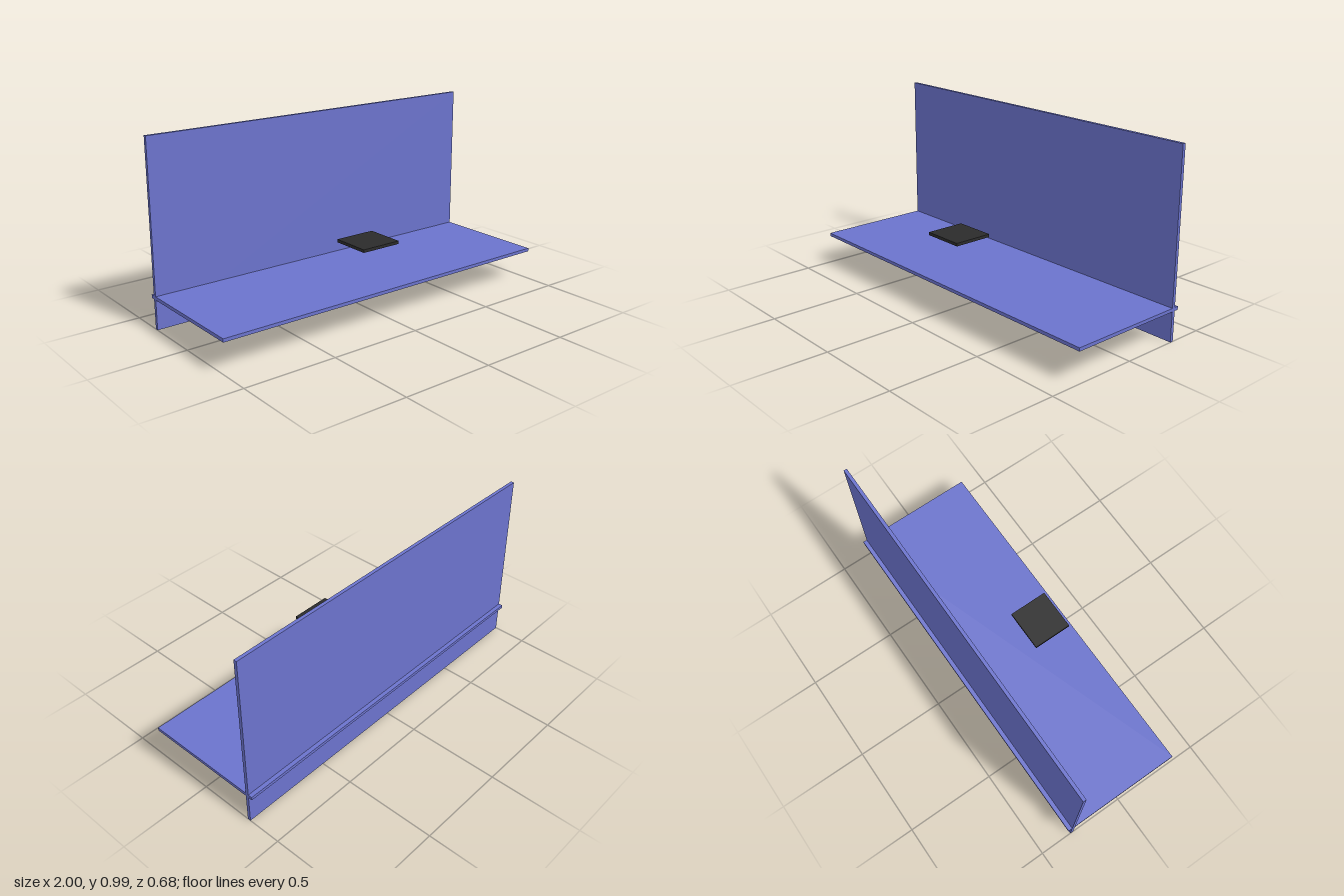
import * as THREE from 'three';

export function createModel() {
  const model = new THREE.Group();
  const blue = new THREE.MeshStandardMaterial({ color: 0x6b73cc });
  const black = new THREE.MeshStandardMaterial({ color: 0x2b2b2b });

  // Box given by its lower and upper corners
  const slab = (name, material, min, max) => {
    const size = max.map((v, i) => v - min[i]);
    const mesh = new THREE.Mesh(new THREE.BoxGeometry(...size), material);
    mesh.position.set(...max.map((v, i) => (v + min[i]) / 2));
    mesh.name = name;
    model.add(mesh);
  };

  // Upright panel, crossed near its foot by the horizontal panel
  slab('backWall', blue, [-1, 0, -0.317], [1, 0.985, -0.299]);
  slab('floorPanel', blue, [-1, 0.16, -0.34], [1, 0.178, 0.34]);

  // Small dark plate floating above the floor panel
  slab('floatingPlate', black, [-0.145, 0.377, 0.057], [0.083, 0.393, 0.272]);

  return model;
}
